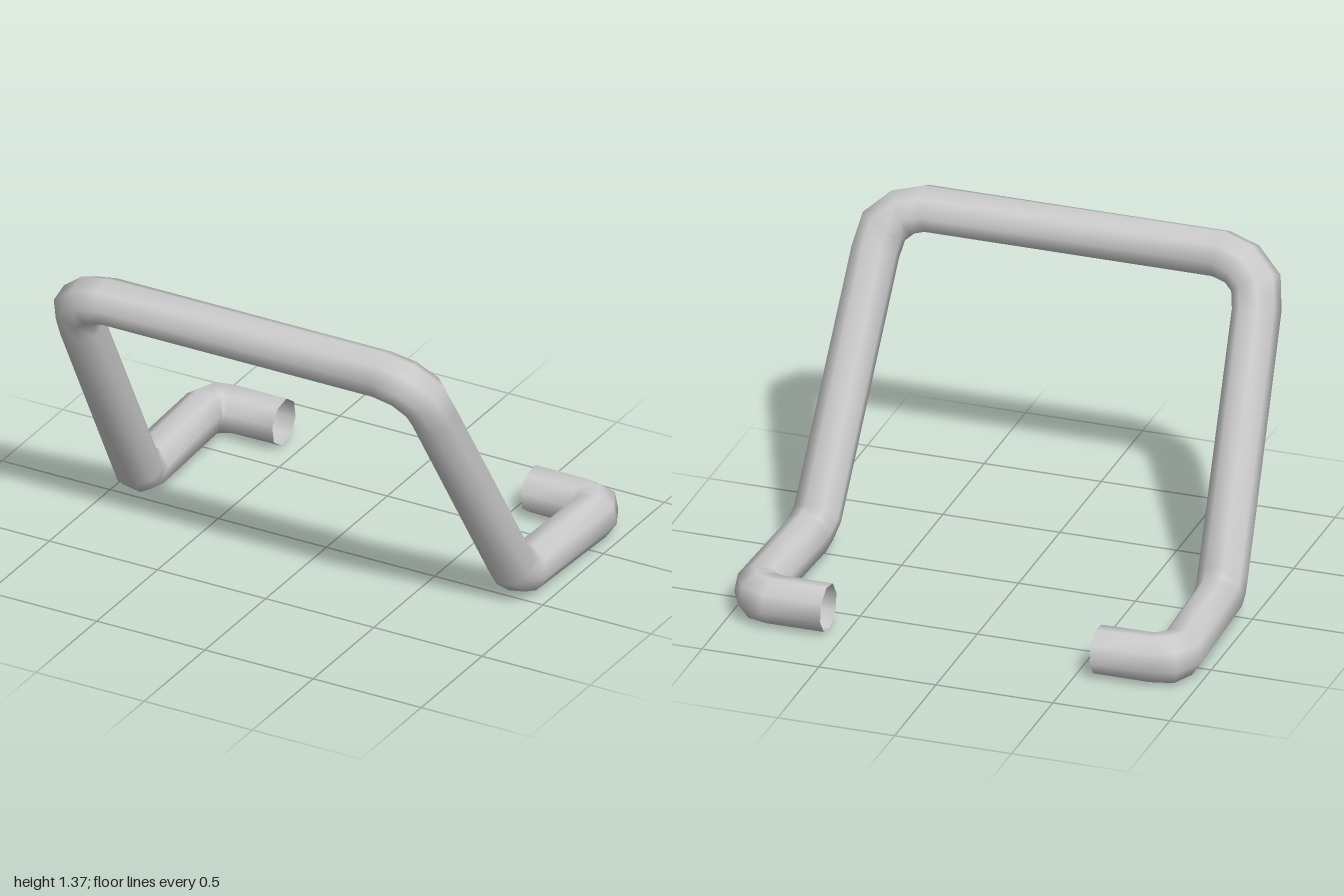
import * as THREE from 'three';

const SIDES = 8;
const RADIUS = 0.1;

// Centreline of one half, from the rail out to the open end
const HALF_PATH = [
  [0, 1.265, 0.667], [0.63, 1.265, 0.667],                                // rail
  [0.725, 1.24, 0.653], [0.795, 1.18, 0.622], [0.815, 1.085, 0.575],      // upper bend
  [0.866, 0.155, 0.02], [0.875, 0.115, -0.03], [0.88, 0.097, -0.08],      // lower bend
  [0.9, 0.097, -0.59], [0.87, 0.097, -0.65], [0.81, 0.097, -0.672],       // rear bend
  [0.575, 0.097, -0.674],                                                 // open end
];

// Octagonal rings carried along one half without twist, widened at each mitre
function halfRings(side) {
  const path = HALF_PATH.map(([x, y, z]) => new THREE.Vector3(x * side, y, z));
  const dirs = path.slice(1).map((p, i) => p.clone().sub(path[i]).normalize());
  const frameY = new THREE.Vector3(0, 1, 0);
  const frameZ = new THREE.Vector3(0, 0, 1);
  const turn = new THREE.Quaternion();
  let previous = dirs[0];
  return path.slice(1).map((point, k) => {
    const incoming = dirs[k];
    const outgoing = dirs[k + 1] || incoming;
    const tangent = incoming.clone().add(outgoing).normalize();
    turn.setFromUnitVectors(previous, tangent);
    frameY.applyQuaternion(turn);
    frameZ.applyQuaternion(turn);
    previous = tangent;
    const r = RADIUS / tangent.dot(incoming);
    return Array.from({ length: SIDES }, (_, j) => {
      const a = (j / SIDES) * Math.PI * 2;
      return point.clone()
        .addScaledVector(frameY, r * Math.cos(a))
        .addScaledVector(frameZ, r * Math.sin(a));
    });
  });
}

export function createModel() {
  const group = new THREE.Group();
  group.name = 'bentTubeBar';

  // Both halves joined end to end across the rail
  const rings = [...halfRings(-1).reverse(), ...halfRings(1)];
  const index = [];
  for (let i = 0; i < rings.length - 1; i++) {
    for (let j = 0; j < SIDES; j++) {
      const a = i * SIDES + j;
      const b = i * SIDES + ((j + 1) % SIDES);
      index.push(a, b, a + SIDES, b, b + SIDES, a + SIDES);
    }
  }
  const geometry = new THREE.BufferGeometry().setFromPoints(rings.flat());
  geometry.setIndex(index);
  geometry.computeVertexNormals();

  // Open-ended tube
  const tube = new THREE.Mesh(
    geometry,
    new THREE.MeshStandardMaterial({ color: 0xcccccc, side: THREE.DoubleSide })
  );
  tube.name = 'tube';
  group.add(tube);
  return group;
}
